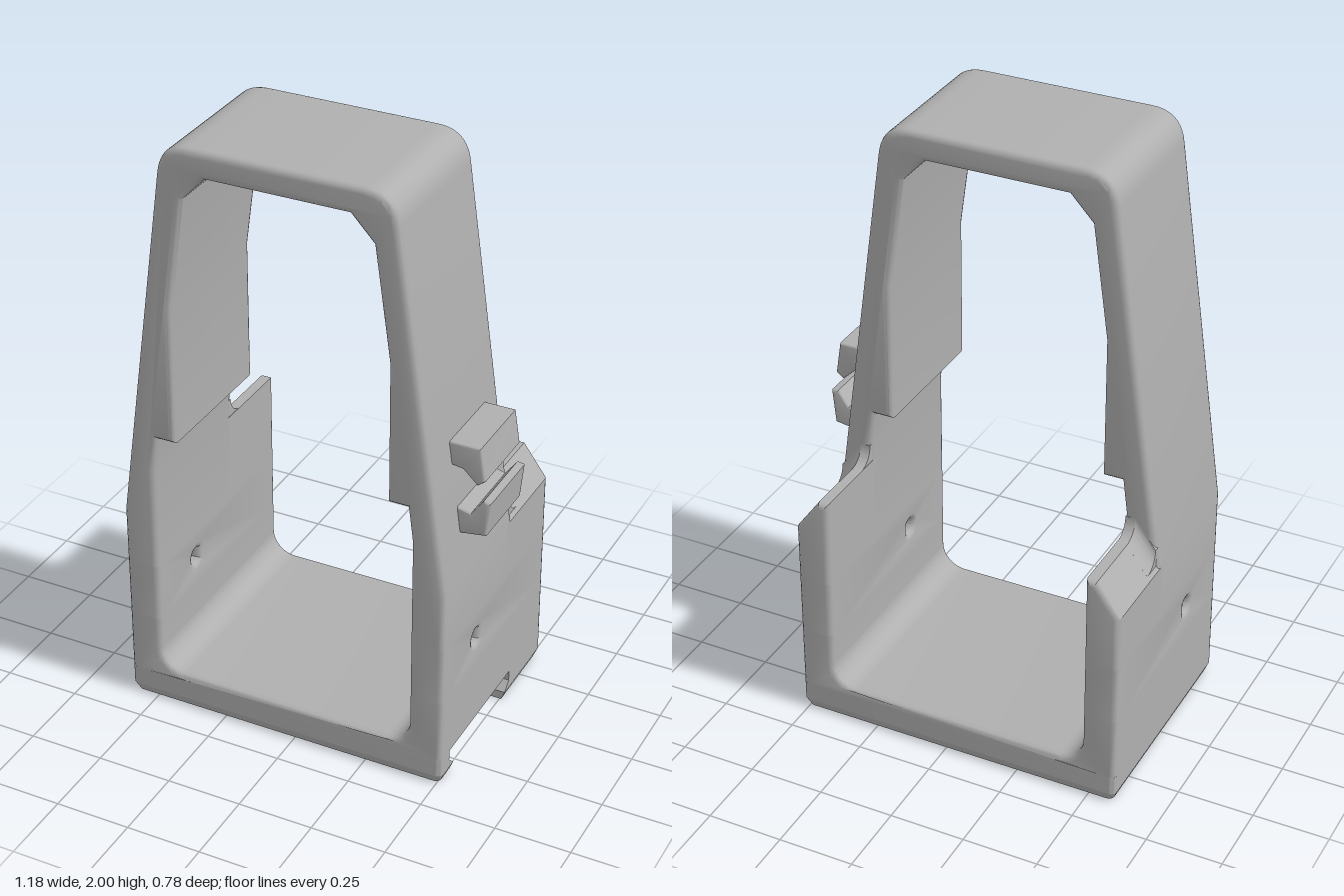
import * as THREE from 'three';
import { toCreasedNormals } from 'three/addons/utils/BufferGeometryUtils.js';

const EDGE = 0.02; // edge rounding
const SEAM_LOW = 0.31, SEAM_HIGH = 0.51, FLOOR_UNDER = 0.095;

const polygon = (pts) => new THREE.Shape(pts.map(([x, y]) => new THREE.Vector2(x, y)));

// Extrude along z from z0 to z1, with rounded edges kept inside the outline
function extrudeZ(shape, z0, z1, b = EDGE) {
  const geo = new THREE.ExtrudeGeometry(shape, {
    depth: z1 - z0 - 2 * b, bevelEnabled: b > 0, bevelThickness: b, bevelSize: b,
    bevelOffset: -b, bevelSegments: 3, curveSegments: 10,
  });
  return geo.translate(0, 0, z0 + b);
}

// Same along x; the shape is drawn in (-z, y)
const extrudeX = (shape, x0, x1, b = EDGE) => extrudeZ(shape, x0, x1, b).rotateY(Math.PI / 2);

function moveVertices(geo, rule) {
  const p = geo.attributes.position, v = new THREE.Vector3();
  for (let i = 0; i < p.count; i++) {
    v.fromBufferAttribute(p, i);
    rule(v);
    p.setXYZ(i, v.x, v.y, v.z);
  }
  return geo;
}

// Undo the rounding where two parts of the frame meet at height y
const flushAt = (geo, y, minX = 0) => moveVertices(geo, (v) => {
  if (Math.abs(v.y - y) < EDGE + 0.001 && Math.abs(v.x) > minX) v.y = y;
});

// One layer of the base plate, with a slot open towards +x
function baseLayer(y0, y1, halfBottom, halfTop, inset) {
  const w = 0.555, d = 0.39, r = EDGE, end = -0.16, zc = 0.1;
  const s = new THREE.Shape();
  s.moveTo(w, -zc + halfTop);
  s.lineTo(w, d - r);
  s.absarc(w - r, d - r, r, 0, Math.PI / 2);
  s.absarc(-w + r, d - r, r, Math.PI / 2, Math.PI);
  s.absarc(-w + r, -d + r, r, Math.PI, Math.PI * 1.5);
  s.absarc(w - r, -d + r, r, Math.PI * 1.5, Math.PI * 2);
  s.lineTo(w, -zc - halfTop);
  s.lineTo(end, -zc - halfTop);
  s.lineTo(end, -zc + halfTop);
  const geo = new THREE.ExtrudeGeometry(s, { depth: y1 - y0, bevelEnabled: false, curveSegments: 3 });
  geo.rotateX(-Math.PI / 2).translate(0, y0, 0);
  return moveVertices(geo, (v) => {
    if (v.y > y0 + 1e-4) return;
    if (Math.abs(v.z - zc) < 0.25) v.z = zc + Math.sign(v.z - zc) * halfBottom;
    else v.z *= 1 - inset / d;
    if (Math.abs(v.x) > 0.5) v.x *= 1 - inset / w;
  });
}

export function createModel() {
  const group = new THREE.Group();
  group.name = 'bracketFrame';
  const grey = new THREE.MeshStandardMaterial({ color: 0xb0b0b0 });
  grey.name = 'grey plastic';
  const body = new THREE.Group();
  body.name = 'body';
  body.position.x = -0.0375; // clips stick out on one side only
  group.add(body);
  const add = (name, geo) => {
    const mesh = new THREE.Mesh(toCreasedNormals(geo, 0.6), grey);
    mesh.name = name;
    body.add(mesh);
  };

  // Base plate with dovetail slot underneath
  add('baseBottom', baseLayer(0, 0.03, 0.2, 0.2, 0.012));
  add('baseDovetail', baseLayer(0.03, 0.06, 0.2, 0.23, 0));
  add('baseTop', baseLayer(0.06, FLOOR_UNDER, 0.23, 0.23, 0));

  // Floor with rounded inner corners
  const floor = new THREE.Shape();
  floor.moveTo(-0.555, FLOOR_UNDER);
  floor.lineTo(0.555, FLOOR_UNDER);
  floor.lineTo(0.555, SEAM_LOW);
  floor.lineTo(0.44, SEAM_LOW);
  floor.lineTo(0.44, 0.2);
  floor.absarc(0.36, 0.2, 0.08, 0, -Math.PI / 2, true);
  floor.absarc(-0.36, 0.2, 0.08, -Math.PI / 2, -Math.PI, true);
  floor.lineTo(-0.44, SEAM_LOW);
  floor.lineTo(-0.555, SEAM_LOW);
  add('floor', flushAt(flushAt(extrudeZ(floor, -0.39, 0.39), FLOOR_UNDER, 0.5), SEAM_LOW));

  // Tall arch, stepped inside
  const arch = new THREE.Shape();
  arch.moveTo(0.555, SEAM_HIGH);
  arch.lineTo(0.555, 0.7);
  arch.lineTo(0.39, 1.9);
  arch.quadraticCurveTo(0.378, 2, 0.28, 2);
  arch.lineTo(-0.28, 2);
  arch.quadraticCurveTo(-0.378, 2, -0.39, 1.9);
  arch.lineTo(-0.555, 0.7);
  arch.lineTo(-0.555, SEAM_HIGH);
  const inner = [[0.44, SEAM_HIGH], [0.44, 0.87], [0.425, 0.99], [0.36, 0.99],
    [0.36, 1.46], [0.31, 1.83], [0.235, 1.91]];
  inner.forEach(([x, y]) => arch.lineTo(-x, y));
  [...inner].reverse().forEach(([x, y]) => arch.lineTo(x, y));
  add('arch', flushAt(extrudeZ(arch, -0.105, 0.39), SEAM_HIGH));

  for (const s of [1, -1]) {
    const side = s > 0 ? 'left' : 'right';
    const span = (a, b) => (s > 0 ? [a, b] : [-b, -a]);

    // Wall band with a countersunk teardrop hole
    const wall = polygon([[-0.39, SEAM_LOW], [0.39, SEAM_LOW], [0.39, SEAM_HIGH], [-0.39, SEAM_HIGH]]);
    const hole = new THREE.Path();
    const r = 0.027, cx = -0.145, cy = 0.41;
    hole.moveTo(cx + r * 1.414, cy);
    hole.absarc(cx, cy, r, Math.PI / 4, Math.PI * 1.75);
    hole.closePath();
    wall.holes.push(hole);
    add(side + 'Wall', flushAt(flushAt(extrudeX(wall, ...span(0.44, 0.555)), SEAM_LOW), SEAM_HIGH));

    // Rear wall with sloping top
    const rear = polygon([[0.44, SEAM_HIGH], [0.555, SEAM_HIGH], [0.555, 0.7], [0.475, 0.81], [0.44, 0.81]]
      .map(([x, y]) => [x * s, y]));
    add(side + 'RearWall', flushAt(extrudeZ(rear, -0.39, -0.05), SEAM_HIGH));

    // Hollow fillet between arch and rear wall
    const fillet = new THREE.Shape();
    fillet.moveTo(0.08, 0.72);
    fillet.lineTo(0.165, 0.72);
    fillet.lineTo(0.165, 0.81);
    fillet.absarc(0.165, 0.87, 0.06, -Math.PI / 2, -Math.PI, true);
    fillet.lineTo(0.08, 0.87);
    add(side + 'Fillet', extrudeX(fillet, ...span(0.442, 0.475), 0));
    add(side + 'FilletSlope', moveVertices(extrudeX(fillet, ...span(0.475, 0.545), 0), (v) => {
      if (Math.abs(v.x) > 0.5) v.y -= 0.096;
    }));
  }

  // Pair of hooked cable clips on the left wall
  const clips = {
    upperClip: [[0.44, 1.16], [0.555, 1.16], [0.572, 1.05], [0.548, 1.03], [0.5, 1.075], [0.44, 1.085]],
    lowerClip: [[0.46, 0.855], [0.5, 0.85], [0.58, 0.862], [0.592, 0.978], [0.568, 0.982], [0.53, 0.93], [0.46, 0.945]],
  };
  for (const [name, pts] of Object.entries(clips)) {
    const geo = extrudeZ(polygon(pts), -0.015, 0.245, 0.008);
    add(name, geo.translate(0.0375, 0, 0));
  }
  return group;
}
